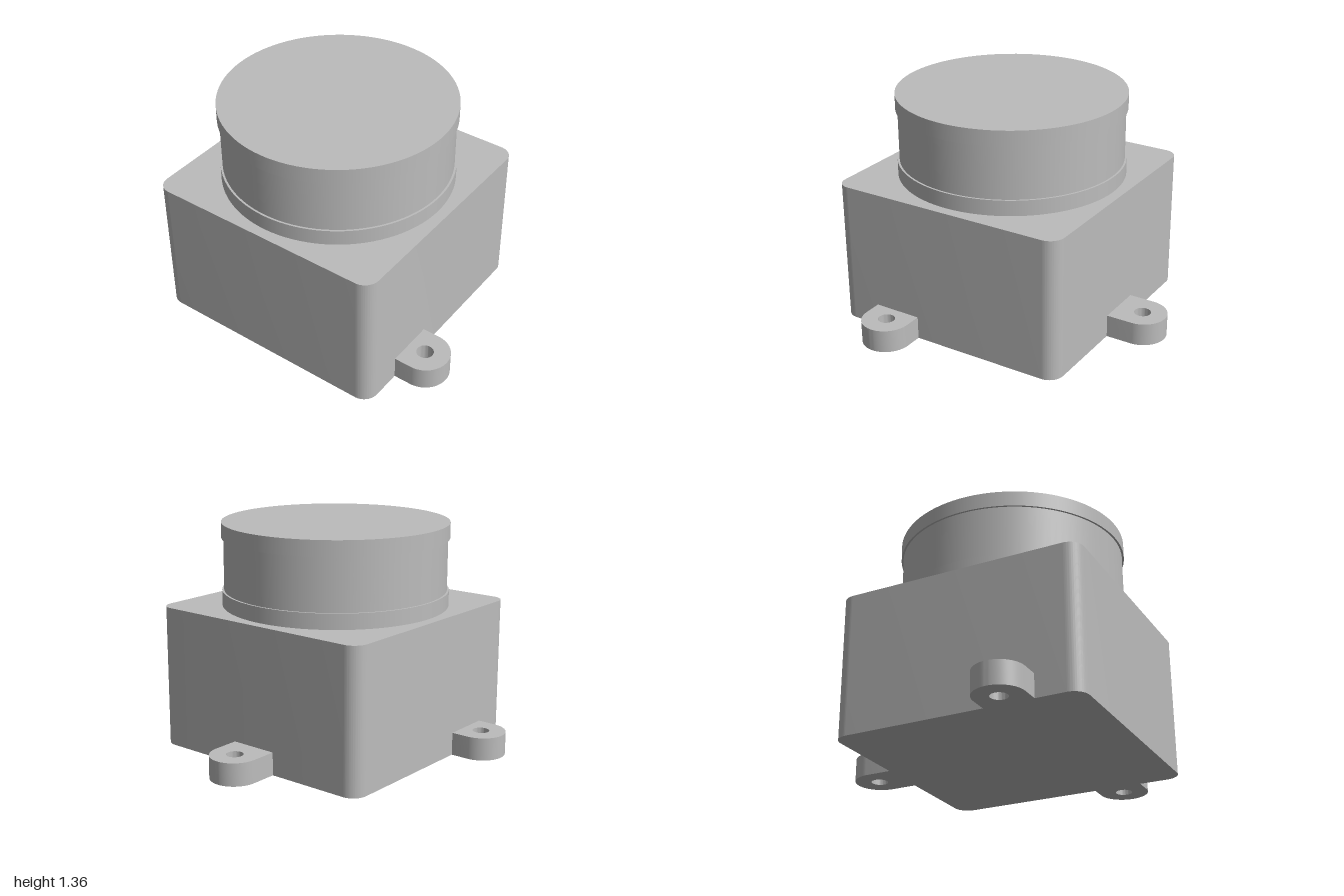
import * as THREE from 'three';
import { toCreasedNormals } from 'three/addons/utils/BufferGeometryUtils.js';

const grey = new THREE.MeshStandardMaterial({ color: 0xbcbcbc });
grey.name = 'plain grey';

const CENTRE_Z = 0.15; // centre of body and drum
const HALF = 0.747; // half width of the square body

// Extrudes a plan shape upwards from y = 0 (shape y points to -z).
function extrudeUp(shape, height) {
  const geometry = new THREE.ExtrudeGeometry(shape, { depth: height, bevelEnabled: false, curveSegments: 24 });
  geometry.rotateX(-Math.PI / 2);
  return toCreasedNormals(geometry, Math.PI / 6);
}

function addMesh(parent, name, geometry) {
  const mesh = new THREE.Mesh(geometry, grey);
  mesh.name = name;
  parent.add(mesh);
  return mesh;
}

// Square plan with rounded vertical edges
function roundedSquare(h, r) {
  const s = new THREE.Shape();
  s.moveTo(-h + r, -h);
  s.lineTo(h - r, -h);
  s.absarc(h - r, -h + r, r, -Math.PI / 2, 0);
  s.lineTo(h, h - r);
  s.absarc(h - r, h - r, r, 0, Math.PI / 2);
  s.lineTo(-h + r, h);
  s.absarc(-h + r, h - r, r, Math.PI / 2, Math.PI);
  s.lineTo(-h, -h + r);
  s.absarc(-h + r, -h + r, r, Math.PI, Math.PI * 1.5);
  return s;
}

// Round-ended lug around a screw hole at the origin, pointing to -z
function lugShape(reach) {
  const r = 0.147;
  const s = new THREE.Shape();
  s.moveTo(-r, -reach);
  s.lineTo(r, -reach);
  s.lineTo(r, 0);
  s.absarc(0, 0, r, 0, Math.PI);
  s.lineTo(-r, -reach);
  const hole = new THREE.Path();
  hole.absarc(0, 0, 0.05, 0, Math.PI * 2, true);
  s.holes.push(hole);
  return s;
}

export function createModel() {
  const model = new THREE.Group();
  model.name = 'housing';

  // Body
  addMesh(model, 'body', extrudeUp(roundedSquare(HALF, 0.09), 0.86)).position.z = CENTRE_Z;

  // Drum with a slightly wider ring at each end
  const drum = new THREE.Group();
  drum.name = 'drum';
  drum.position.z = CENTRE_Z;
  model.add(drum);
  for (const [name, radius, y0, y1] of [
    ['lowerRing', 0.683, 0.86, 0.953],
    ['drumWall', 0.671, 0.953, 1.268],
    ['upperRing', 0.683, 1.268, 1.362],
  ]) {
    const geometry = new THREE.CylinderGeometry(radius, radius, y1 - y0, 96);
    addMesh(drum, name, geometry).position.y = (y0 + y1) / 2;
  }

  // Mounting lugs: hole position, length to the wall, turn
  for (const [name, x, z, reach, turn] of [
    ['leftLug', 0.853, 0.485, 0.853 - HALF, -Math.PI / 2],
    ['rightLug', -0.853, 0.485, 0.853 - HALF, Math.PI / 2],
    ['backLug', 0, -0.754, 0.754 + CENTRE_Z - HALF, 0],
  ]) {
    const lug = addMesh(model, name, extrudeUp(lugShape(reach), 0.138));
    lug.position.set(x, 0, z);
    lug.rotation.y = turn;
  }
  return model;
}
